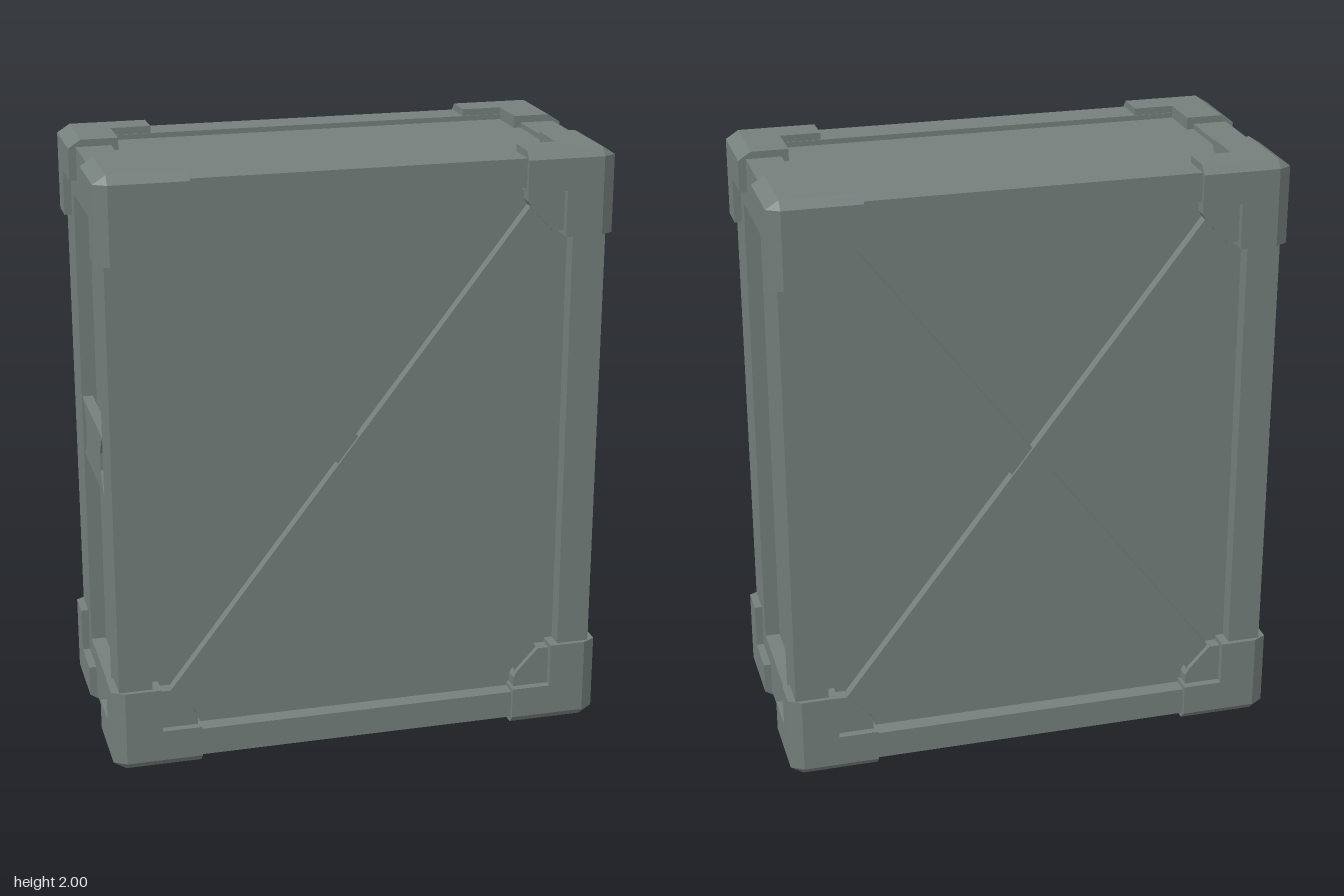
import * as THREE from 'three';
import { ConvexGeometry } from 'three/addons/geometries/ConvexGeometry.js';

const steel = new THREE.MeshStandardMaterial({ color: 0x757f7c });
steel.name = 'grey green steel';

const SIGNS = [-1, 1];
const MID = 1; // height of the crate's centre

function add(parent, name, geometry) {
  const mesh = new THREE.Mesh(geometry, steel);
  mesh.name = name;
  parent.add(mesh);
  return mesh;
}

// Box between two corners
function box(parent, name, a, b) {
  const size = a.map((v, i) => Math.abs(b[i] - v));
  const mesh = add(parent, name, new THREE.BoxGeometry(...size));
  mesh.position.set(...a.map((v, i) => (v + b[i]) / 2));
  return mesh;
}

// Flat plate extruded along +z
function plate(points, depth) {
  const shape = new THREE.Shape(points.map(p => new THREE.Vector2(...p)));
  return new THREE.ExtrudeGeometry(shape, { depth, bevelEnabled: false });
}

// Box from inner to outer corner, with the outward edges bevelled; signs mirror it
function bevelledBar(inner, outer, cut, signs) {
  const points = [];
  for (let n = 0; n < 8; n++) {
    const far = [n & 1, n & 2, n & 4].map(Boolean);
    const corner = far.map((f, i) => (f ? outer[i] : inner[i]));
    const axes = [0, 1, 2].filter(i => far[i]);
    const variants = axes.length < 2 ? [corner] : axes.map(keep =>
      corner.map((v, i) => (far[i] && i !== keep ? v - cut[i] : v)));
    for (const p of variants) points.push(new THREE.Vector3(...p.map((v, i) => v * signs[i])));
  }
  return new ConvexGeometry(points);
}

// Raised X brace with a gusset in every corner, lying on z = 0
function crossBrace(parent, mirror) {
  const angle = Math.atan(1.3);
  for (const s of SIGNS) {
    const depth = s * mirror > 0 ? 0.036 : 0.026;
    const bar = add(parent, 'diagonalBrace', new THREE.BoxGeometry(2.02, 0.107, depth));
    bar.rotation.z = s * mirror * angle;
    bar.position.z = depth / 2;
  }
  for (const sx of SIGNS) for (const sy of SIGNS) {
    const points = [[0.55, 0.88], [0.55, 0.835], [0.565, 0.81], [0.635, 0.735], [0.70, 0.735], [0.70, 0.88]];
    add(parent, 'cornerGusset', plate(points.map(([x, y]) => [x * sx, y * sy]), 0.044));
  }
}

export function createModel() {
  const crate = new THREE.Group();
  crate.name = 'crate';

  // Recessed panels
  box(crate, 'panelCore', [-0.76, 0.05, -0.335], [0.76, 1.96, 0.335]);

  // Raised frame along all twelve edges
  const frame = new THREE.Group();
  frame.name = 'frame';
  frame.position.y = MID;
  crate.add(frame);
  for (const a of SIGNS) for (const b of SIGNS) {
    box(frame, 'uprightRail', [a * 0.70, -0.97, b * 0.22], [a * 0.81, 0.98, b * 0.39]);
    box(frame, 'longRail', [-0.81, a * 0.883, b * 0.275], [0.81, a * 0.977, b * 0.39]);
    box(frame, 'shortRail', [a * 0.695, b * 0.803, -0.39], [a * 0.81, b * 0.977, 0.39]);
  }

  // Bevelled three-armed corner guards
  const inner = [0.672, 0.868, 0.278];
  const reach = [0.54, 0.718, 0.127];
  const outer = [0.835, 1, 0.405];
  for (const sx of SIGNS) for (const sy of SIGNS) for (const sz of SIGNS) {
    const guard = new THREE.Group();
    guard.name = 'cornerGuard';
    guard.position.y = MID;
    for (let axis = 0; axis < 3; axis++) {
      const start = inner.map((v, i) => (i === axis ? reach[i] : v));
      add(guard, 'guardArm', bevelledBar(start, outer, [0.042, 0.027, 0.025], [sx, sy, sz]));
    }
    crate.add(guard);
  }

  // Cross braces on the front and back panels
  for (const s of SIGNS) {
    const brace = new THREE.Group();
    brace.name = s > 0 ? 'frontBrace' : 'backBrace';
    brace.position.set(0, MID, s * 0.335);
    if (s < 0) brace.rotation.y = Math.PI;
    crossBrace(brace, s);
    crate.add(brace);
  }

  // Carrying handle with flared ends across one side recess
  const half = [[0.22, 0.10], [0.19, 0.09], [0.15, 0.03]];
  const right = [...half, ...half.map(([x, y]) => [x, -y]).reverse()];
  const outline = [...right, ...right.map(([x, y]) => [-x, -y])];
  const handle = add(crate, 'sideHandle', plate(outline, 0.035));
  handle.rotation.y = -Math.PI / 2;
  handle.position.set(-0.773, MID, 0);

  return crate;
}
